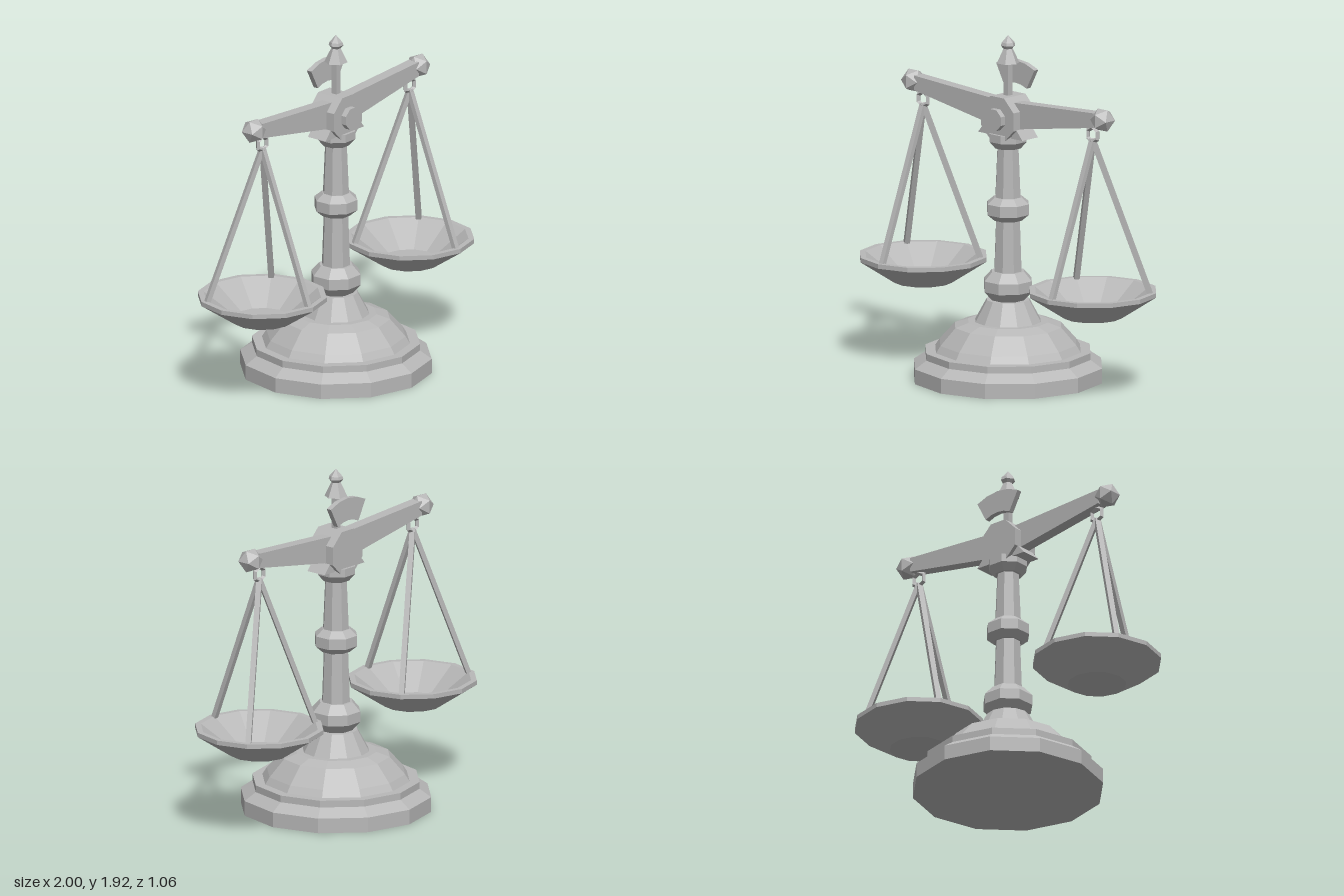
import * as THREE from 'three';

const metal = new THREE.MeshStandardMaterial({ color: 0xb8b8b8, flatShading: true });
metal.name = 'grey metal';

function add(parent, name, geometry, x = 0, y = 0, z = 0) {
  const mesh = new THREE.Mesh(geometry, metal);
  mesh.name = name;
  mesh.position.set(x, y, z);
  parent.add(mesh);
  return mesh;
}

// Faceted turned part from [radius, height] pairs, bottom to top
function turned(profile, sides, turn = 0) {
  const points = profile.map(([r, y]) => new THREE.Vector2(r, y));
  return new THREE.LatheGeometry(points, sides).rotateY(turn);
}

// Flat outline extruded between two depths
function plate(outline, back, front) {
  const shape = new THREE.Shape(outline.map(([x, y]) => new THREE.Vector2(x, y)));
  return new THREE.ExtrudeGeometry(shape, { depth: front - back, bevelEnabled: false }).translate(0, 0, back);
}

// Eight-sided prism along z with a flat top
function octagon(apothem, depth) {
  const r = apothem / Math.cos(Math.PI / 8);
  return new THREE.CylinderGeometry(r, r, depth, 8).rotateY(Math.PI / 8).rotateX(Math.PI / 2);
}

// Ring, three rods and a dish hanging from one end of the beam
function makePan(side) {
  const pan = new THREE.Group();
  pan.name = side > 0 ? 'leftPan' : 'rightPan';
  pan.position.x = side * 0.643;

  add(pan, 'dish', turned([
    [0, 0.445], [0.163, 0.445], [0.357, 0.572], [0.357, 0.597],
    [0.325, 0.597], [0.15, 0.468], [0, 0.468],
  ], 12));

  add(pan, 'hangingRing', new THREE.TorusGeometry(0.041, 0.014, 4, 6).rotateZ(Math.PI / 6), 0, 1.467);

  const top = new THREE.Vector3(0, 1.44, 0);
  for (let i = 0; i < 3; i++) {
    const foot = new THREE.Vector3(0, 0.585, 0.325);
    const length = top.distanceTo(foot);
    const tilt = -Math.atan2(foot.z, top.y - foot.y);
    const rod = new THREE.BoxGeometry(0.03, length, 0.026)
      .rotateX(tilt)
      .translate(0, (top.y + foot.y) / 2, foot.z / 2)
      .rotateY(i * Math.PI * 2 / 3);
    add(pan, 'rod', rod);
  }
  return pan;
}

export function createModel() {
  const model = new THREE.Group();
  model.name = 'balanceScale';

  // Stepped base
  add(model, 'base', turned([
    [0, 0], [0.53, 0], [0.53, 0.083], [0.465, 0.128], [0.465, 0.166], [0.41, 0.166],
    [0.385, 0.205], [0.30, 0.3], [0.225, 0.325], [0.185, 0.325], [0.12, 0.445], [0, 0.445],
  ], 12));

  // Eight-sided column with two collars and a capital
  add(model, 'column', turned([
    [0.09, 0.44], [0.14, 0.495], [0.14, 0.555], [0.095, 0.605], [0.08, 0.605],
    [0.07, 0.89], [0.08, 0.89], [0.122, 0.925], [0.122, 0.985], [0.08, 1.02], [0.074, 1.02],
    [0.062, 1.295], [0.075, 1.295], [0.11, 1.335], [0.11, 1.38], [0, 1.38],
  ], 8, Math.PI / 8));

  // Pivot
  add(model, 'fulcrum', plate([[-0.168, 1.367], [0.168, 1.367], [0, 1.56]], -0.062, 0.062));
  add(model, 'hub', octagon(0.123, 0.17), 0, 1.467);
  add(model, 'hubBoss', octagon(0.058, 0.04), 0, 1.467, 0.097);

  // Beam, deepest in the middle
  add(model, 'beam', plate([
    [0, 1.4], [0.68, 1.515], [0.68, 1.597], [0, 1.558], [-0.68, 1.597], [-0.68, 1.515],
  ], -0.034, 0.034));

  for (const side of [-1, 1]) {
    add(model, 'beamKnob', new THREE.IcosahedronGeometry(0.07), side * 0.717, 1.56);
    model.add(makePan(side));
  }

  // Pointer with finial
  add(model, 'pointer', new THREE.BoxGeometry(0.036, 0.25, 0.036), 0, 1.67);
  add(model, 'finial', turned([
    [0, 1.77], [0.064, 1.77], [0.026, 1.85], [0.041, 1.868], [0.036, 1.885], [0, 1.925],
  ], 6, Math.PI / 6));

  // Curved dial plate behind the pointer
  const steps = [-2, -1, 0, 1, 2].map((i) => i * 0.245);
  const arc = (r) => steps.map((a) => [r * Math.sin(a), 1.467 + r * Math.cos(a)]);
  add(model, 'dial', plate([...arc(0.182), ...arc(0.308).reverse()], -0.088, -0.057));

  return model;
}
